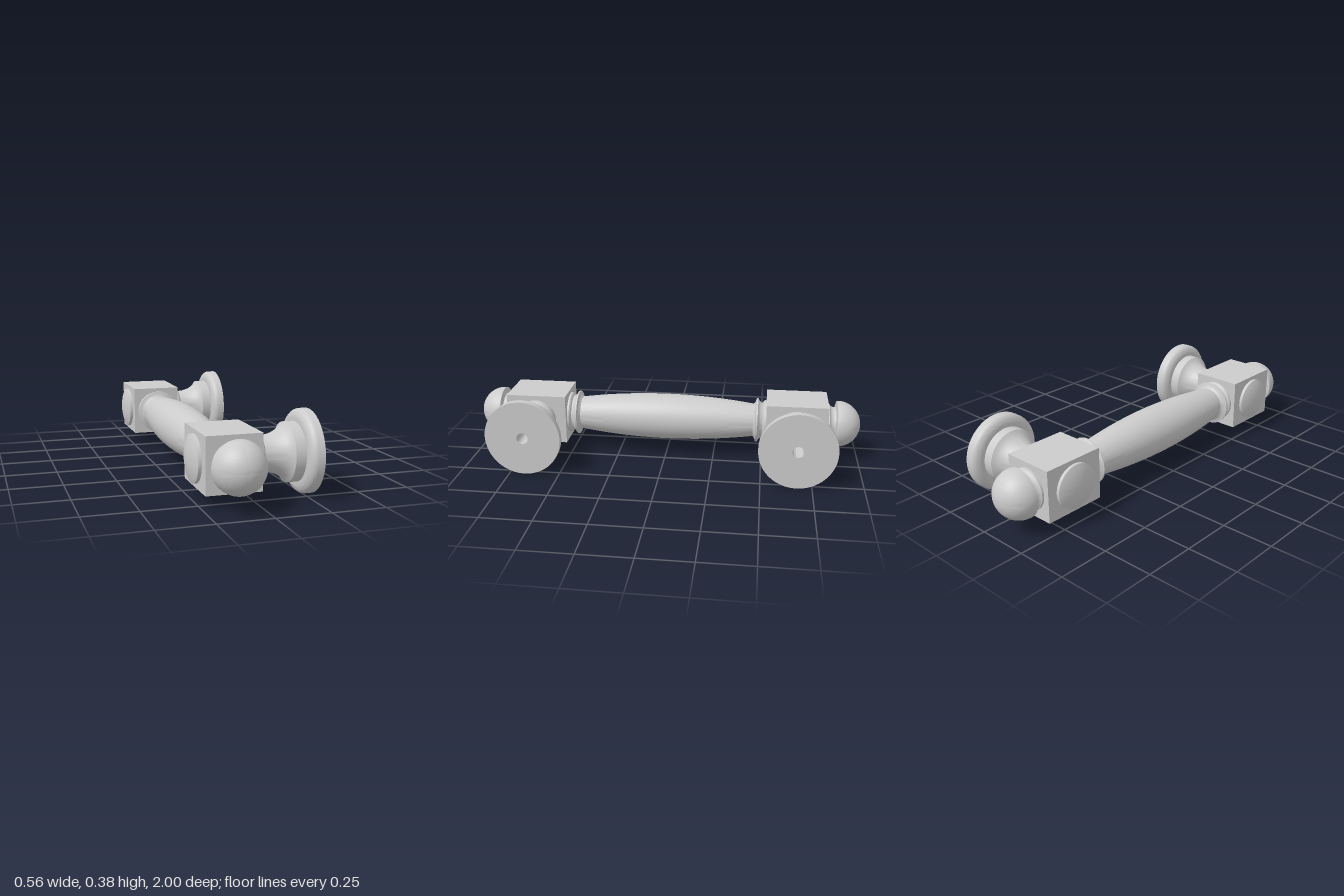
import * as THREE from 'three';
import { toCreasedNormals } from 'three/addons/utils/BufferGeometryUtils.js';

const AXIS_X = -0.116, AXIS_Y = 0.19, POST_Z = 0.674;
const material = new THREE.MeshStandardMaterial({ color: 0xcccccc });

// Points [radius, height] on a quarter ellipse or any part of one
function arc(cr, ch, rr, rh, from, to, steps = 10) {
  return Array.from({ length: steps + 1 }, (_, i) => {
    const a = from + (to - from) * i / steps;
    return [Math.max(0, cr + rr * Math.cos(a)), ch + rh * Math.sin(a)];
  });
}

// Turned part: profile of [radius, height], with sharp edges kept
function turned(name, profile) {
  const points = profile.map(([r, h]) => new THREE.Vector2(r, h));
  const geometry = toCreasedNormals(new THREE.LatheGeometry(points, 64), 0.55);
  const mesh = new THREE.Mesh(geometry, material);
  mesh.name = name;
  return mesh;
}

// Turned pieces along x that fix one post to the wall
function addMount(post) {
  const mount = turned('wallMount', [
    [0, 0], [0.103, 0], [0.103, 0.028],
    ...arc(0.08, 0.028, 0.023, 0.022, 0.2, Math.PI / 2, 6),
    [0.08, 0.052], [0.081, 0.07], [0.084, 0.09], [0.09, 0.112], [0.098, 0.13],
    [0.108, 0.147], [0.12, 0.16], [0.135, 0.17],
    [0.135, 0.218],
    ...arc(0.143, 0.25, 0.047, 0.032, -Math.PI / 2, 0),
    [0.19, 0.281], [0.028, 0.281], [0.028, 0.1], [0, 0.1],
  ]);
  mount.rotation.z = -Math.PI / 2;
  mount.position.y = AXIS_Y;

  // Low domed button on the outer face
  const button = turned('domedButton', [
    [0, 0.235], [0.107, 0.235], [0.107, 0.258], [0.09, 0.2655], [0.07, 0.2715],
    [0.05, 0.276], [0.025, 0.28], [0, 0.281],
  ]);
  button.rotation.z = Math.PI / 2;
  button.position.y = AXIS_Y;
  post.add(mount, button);
}

export function createModel() {
  const model = new THREE.Group();
  model.name = 'pullHandle';

  // Swelling grip, with flared rings and collars at both ends
  const half = [];
  for (let i = 0; i <= 16; i++) {
    const t = i / 16;
    half.push([0.118 - 0.033 * t * t, 0.452 * t]);
  }
  half.push(
    [0.09, 0.458], [0.1, 0.463], [0.114, 0.467], [0.114, 0.475],
    [0.102, 0.482], [0.094, 0.49], [0.091, 0.499],
    [0.1, 0.503], [0.105, 0.509], [0.105, 0.525],
  );
  const mirrored = half.slice(1).reverse().map(([r, h]) => [r, -h]);
  const grip = turned('grip', [...mirrored, ...half]);
  grip.rotation.x = Math.PI / 2;
  grip.position.set(AXIS_X, AXIS_Y, 0);
  model.add(grip);

  for (const side of [1, -1]) {
    const post = new THREE.Group();
    post.name = side > 0 ? 'frontPost' : 'backPost';
    post.position.z = side * POST_Z;

    const block = new THREE.Mesh(new THREE.BoxGeometry(0.253, 0.253, 0.31), material);
    block.name = 'block';
    block.position.set(AXIS_X, AXIS_Y, 0);
    post.add(block);
    addMount(post);

    // Ball finial on a short waisted neck
    const finial = turned('finial', [
      [0.1, 0.825], [0.1, 0.839], [0.092, 0.844], [0.087, 0.852], [0.085, 0.862],
      [0.087, 0.871], [0.106, 0.873],
      ...arc(0, 0.884, 0.118, 0.116, -0.06, Math.PI / 2, 20),
    ]);
    finial.rotation.x = side * Math.PI / 2;
    finial.position.set(AXIS_X, AXIS_Y, -side * POST_Z);
    post.add(finial);
    model.add(post);
  }
  return model;
}
